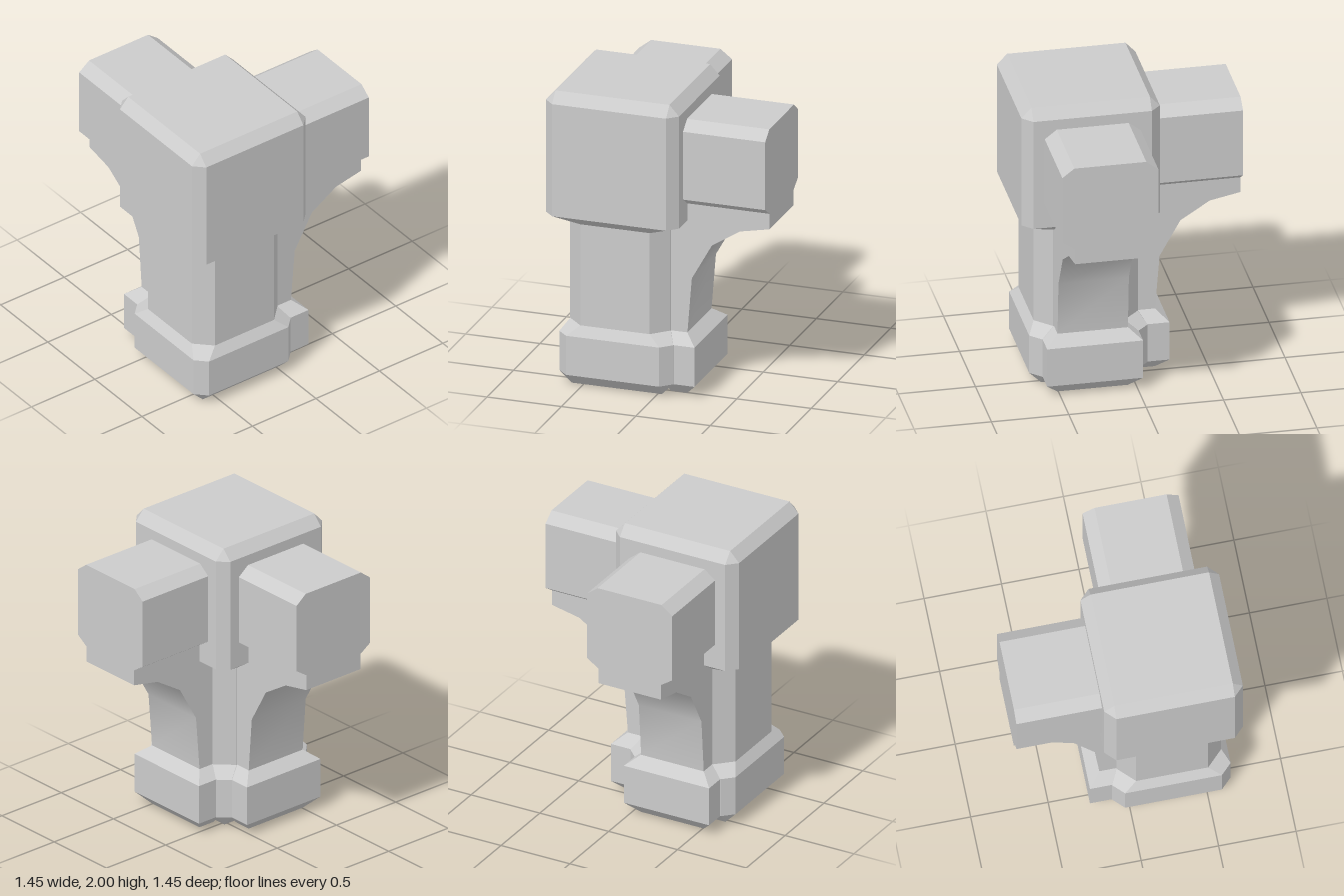
import * as THREE from 'three';
import { ConvexGeometry } from 'three/addons/geometries/ConvexGeometry.js';
import { toCreasedNormals } from 'three/addons/utils/BufferGeometryUtils.js';

const material = new THREE.MeshStandardMaterial({ color: 0xcccccc });

function addPart(parent, name, geometry) {
  const mesh = new THREE.Mesh(geometry, material);
  mesh.name = name;
  parent.add(mesh);
  return mesh;
}

// Square block with cut corners, from levels of [y, half width, corner cut]
function chamferedBlock(levels) {
  const points = [];
  for (const [y, half, cut] of levels) {
    for (const sx of [-1, 1]) for (const sz of [-1, 1]) {
      points.push(new THREE.Vector3(sx * half, y, sz * (half - cut)));
      if (cut > 0) points.push(new THREE.Vector3(sx * (half - cut), y, sz * half));
    }
  }
  return new ConvexGeometry(points);
}

// Block running out along +x, from levels of [y, end x, half depth]
function sideBlock(startX, levels) {
  const points = [];
  for (const [y, endX, half] of levels) {
    for (const x of [startX, endX]) for (const s of [-1, 1]) {
      points.push(new THREE.Vector3(x, y, s * half));
    }
  }
  return new ConvexGeometry(points);
}

// Curved web under a beam, smooth along the curve with crisp sides
function webGeometry() {
  const half = 0.2275;
  const profile = [
    [0.2, 0.38], [0.445, 0.38], [0.448, 0.41], [0.4775, 0.78], [0.6125, 1.02],
    [0.8025, 1.14], [1.0, 1.18], [1.0, 1.285], [0.2, 1.285],
  ].map(([x, y]) => new THREE.Vector2(x, y));
  const geometry = new THREE.ExtrudeGeometry(new THREE.Shape(profile), {
    depth: half * 2, bevelEnabled: false,
  });
  geometry.translate(0, 0, -half);
  return toCreasedNormals(geometry, 0.6);
}

// Beam, bracket web and foot lug on one side of the post
function createArm(name) {
  const arm = new THREE.Group();
  arm.name = name;
  addPart(arm, 'beam', sideBlock(0.4, [
    [1.285, 1.0, 0.2275], [1.34, 1.0, 0.31], [1.8, 1.0, 0.31], [1.86, 1.0, 0.2325],
  ]));
  addPart(arm, 'bracketWeb', webGeometry());
  addPart(arm, 'footLug', sideBlock(0.335, [
    [0, 0.4475, 0.2275], [0.08, 0.525, 0.31], [0.345, 0.525, 0.31], [0.41, 0.4475, 0.2275],
  ]));
  return arm;
}

export function createModel() {
  const model = new THREE.Group();
  model.name = 'cornerPost';

  // Everything is built around the post's own axis
  const post = new THREE.Group();
  post.name = 'postAssembly';
  post.position.set(-0.2775, 0, 0.2775);
  model.add(post);

  addPart(post, 'base', chamferedBlock([
    [0, 0.3025, 0], [0.08, 0.3825, 0.07], [0.345, 0.3825, 0.07], [0.41, 0.3375, 0.105],
  ]));
  addPart(post, 'shaft', chamferedBlock([[0.4, 0.3375, 0.105], [1.1, 0.3375, 0.105]]));
  addPart(post, 'head', chamferedBlock([
    [1.095, 0.3375, 0.105], [1.17, 0.4475, 0.065], [1.93, 0.4475, 0.065], [2, 0.3825, 0],
  ]));

  // One arm to the left, the same arm turned to the back
  post.add(createArm('leftArm'));
  const backArm = createArm('backArm');
  backArm.rotation.y = Math.PI / 2;
  post.add(backArm);

  return model;
}
